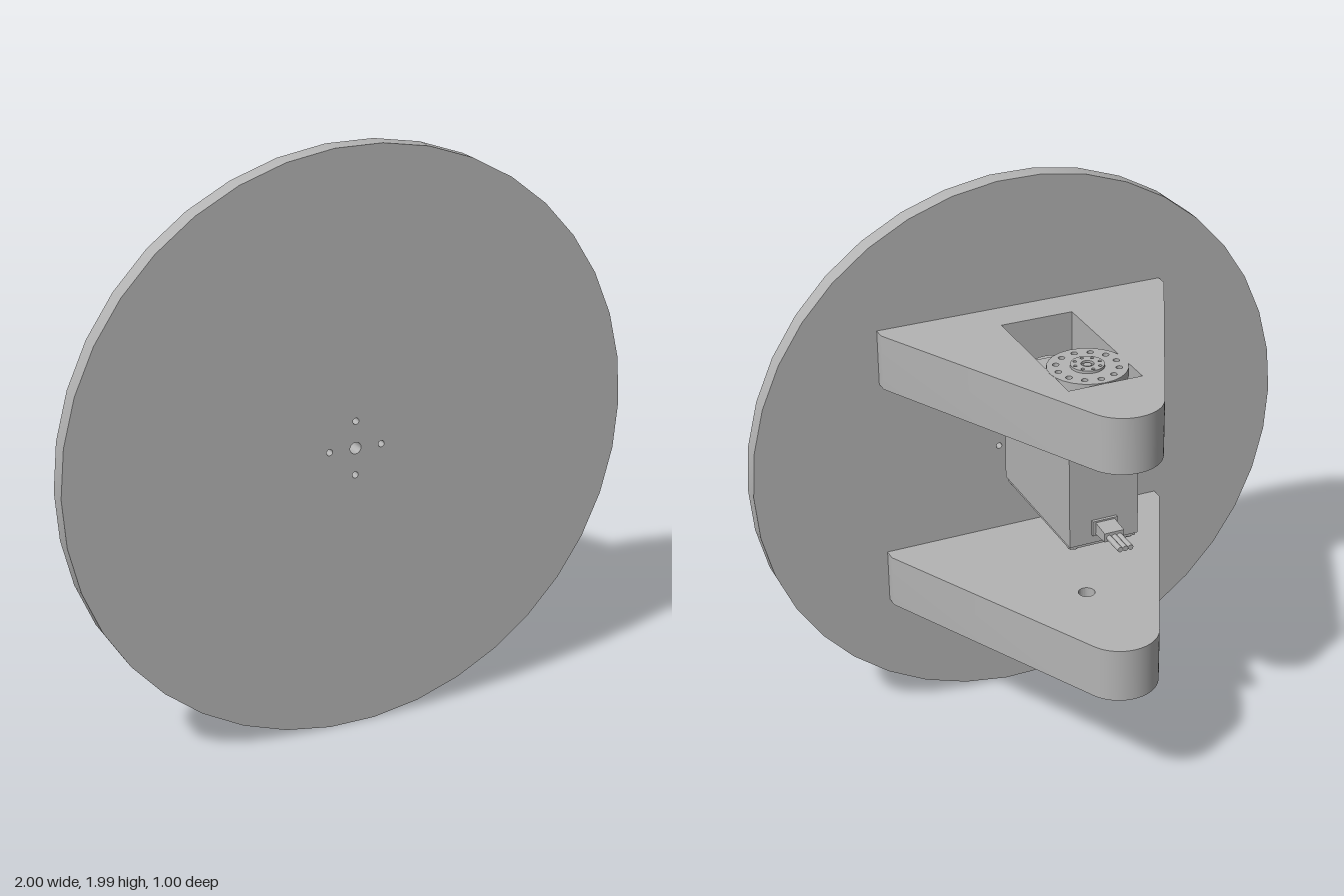
import * as THREE from 'three';
import { toCreasedNormals } from 'three/addons/utils/BufferGeometryUtils.js';

const grey = new THREE.MeshStandardMaterial({ color: 0xb4b4b4 });
grey.name = 'grey plastic';

const AXIS_Z = -0.107; // servo shaft position

function createModel() {
  const model = new THREE.Group();
  model.name = 'servoMountedDisc';

  function add(name, geometry, parent = model) {
    const mesh = new THREE.Mesh(toCreasedNormals(geometry, 0.5), grey);
    mesh.name = name;
    parent.add(mesh);
    return mesh;
  }
  // Horizontal slab from a plan outline drawn in (x, -z)
  function slab(name, shape, y, height, parent) {
    const g = new THREE.ExtrudeGeometry(shape, { depth: height, bevelEnabled: false, curveSegments: 12 });
    g.rotateX(-Math.PI / 2).translate(0, y, 0);
    return add(name, g, parent);
  }
  const box = (name, w, h, d, x, y, z, parent) =>
    add(name, new THREE.BoxGeometry(w, h, d).translate(x, y, z), parent);
  const circle = (x, y, r) => new THREE.Path().absarc(x, y, r, 0, Math.PI * 2, true);
  const rect = (x, y0, y1) => [[-x, y0], [x, y0], [x, y1], [-x, y1]].map(p => new THREE.Vector2(...p));

  // Large faceted disc with a centre hole and four screw holes
  const rim = [];
  for (let i = 0; i < 38; i++) {
    const a = i / 38 * Math.PI * 2;
    rim.push(new THREE.Vector2(Math.cos(a), Math.sin(a)));
  }
  const discShape = new THREE.Shape(rim);
  discShape.holes.push(circle(0, 0, 0.02));
  for (let i = 0; i < 4; i++) {
    const a = i * Math.PI / 2;
    discShape.holes.push(circle(0.093 * Math.cos(a), 0.093 * Math.sin(a), 0.011));
  }
  add('disc', new THREE.ExtrudeGeometry(discShape, { depth: 0.067, bevelEnabled: false, curveSegments: 8 })
    .translate(0, 1, 0.433));

  // Triangular brackets with a rounded tip
  function bracketShape() {
    const s = new THREE.Shape();
    const tilt = Math.atan2(0.5, 1);
    s.moveTo(-0.53, -0.433);
    s.lineTo(0.53, -0.433);
    s.lineTo(0.53, -0.39);
    s.absarc(0, 0.363, 0.137, tilt, Math.PI - tilt, false);
    s.lineTo(-0.53, -0.39);
    s.closePath();
    return s;
  }
  const upper = bracketShape();
  upper.holes.push(new THREE.Path(rect(0.131, -0.3, 0.245)));
  slab('upperBracket', upper, 1.335, 0.2);
  const lower = bracketShape();
  lower.holes.push(circle(0, -AXIS_Z, 0.029));
  slab('lowerBracket', lower, 0.472, 0.197);

  // Servo motor
  const servo = new THREE.Group();
  servo.name = 'servo';
  model.add(servo);

  // Case, slightly longer toward the bottom
  const caseGeo = new THREE.BoxGeometry(0.25, 0.385, 0.53);
  const p = caseGeo.attributes.position;
  for (let i = 0; i < p.count; i++) if (p.getY(i) < 0) p.setZ(i, p.getZ(i) * 1.02);
  add('servoCase', caseGeo.translate(0, 1.1425, 0.029), servo);
  box('servoBasePlate', 0.24, 0.014, 0.52, 0, 0.943, 0.029, servo);

  // Mounting flange with keyhole slots at both ends
  const ear = new THREE.Shape();
  const slot = (x, yEnd, dir) => {
    const r = 0.028, yc = yEnd - dir * 0.043, a = 0.36;
    const dx = r * Math.sin(a);
    ear.lineTo(x + dir * dx, yEnd);
    const mid = dir * Math.PI / 2;
    ear.absarc(x, yc, r, mid - a, mid + a, true);
    ear.lineTo(x - dir * dx, yEnd);
  };
  ear.moveTo(-0.125, -0.385);
  slot(-0.066, -0.385, -1);
  slot(0.066, -0.385, -1);
  ear.lineTo(0.125, -0.385);
  ear.lineTo(0.125, 0.33);
  slot(0.066, 0.33, 1);
  slot(-0.066, 0.33, 1);
  ear.lineTo(-0.125, 0.33);
  ear.closePath();
  slab('mountingFlange', ear, 1.305, 0.029, servo);

  // Gear housing inside the pocket
  slab('gearHousing', new THREE.Shape(rect(0.122, -0.205, 0.237)), 1.33, 0.1, servo);
  add('gearHousingBoss', new THREE.CylinderGeometry(0.09, 0.09, 0.09, 32).translate(0, 1.375, 0.15), servo);
  add('outputShaft', new THREE.CylinderGeometry(0.06, 0.06, 0.09, 24).translate(0, 1.465, AXIS_Z), servo);

  // Round horn with a ring of holes, and its hub
  const ring = (shape, n, radius, hole) => {
    for (let i = 0; i < n; i++) {
      const a = i / n * Math.PI * 2;
      shape.holes.push(circle(radius * Math.cos(a), -AXIS_Z + radius * Math.sin(a), hole));
    }
  };
  const horn = new THREE.Shape().absarc(0, -AXIS_Z, 0.135, 0, Math.PI * 2, false);
  ring(horn, 12, 0.104, 0.011);
  slab('horn', horn, 1.505, 0.031, servo);
  const hub = new THREE.Shape().absarc(0, -AXIS_Z, 0.057, 0, Math.PI * 2, false);
  hub.holes.push(circle(0, -AXIS_Z, 0.022));
  ring(hub, 8, 0.044, 0.006);
  slab('hornHub', hub, 1.53, 0.015, servo);
  add('hornScrew', new THREE.CylinderGeometry(0.014, 0.014, 0.012, 16).translate(0, 1.536, AXIS_Z), servo);

  // Case screws under the four corners
  for (const x of [-0.1, 0.1]) for (const z of [-0.21, 0.27])
    add('caseScrew', new THREE.CylinderGeometry(0.022, 0.018, 0.022, 16).translate(x, 0.942, z), servo);

  // Cable grommet and three wires
  box('cableBase', 0.09, 0.055, 0.014, 0, 1.008, -0.244, servo);
  const grommet = new THREE.BoxGeometry(0.07, 0.046, 0.08);
  const q = grommet.attributes.position;
  for (let i = 0; i < q.count; i++) if (q.getZ(i) < 0) q.setY(i, q.getY(i) * 0.7);
  add('cableGrommet', grommet.translate(0, 1.008, -0.28), servo);
  for (const x of [-0.019, 0, 0.019])
    add('wire', new THREE.CylinderGeometry(0.0095, 0.0095, 0.1, 12).rotateX(Math.PI / 2)
      .translate(x, 1.006, -0.355), servo);

  return model;
}

export { createModel };
